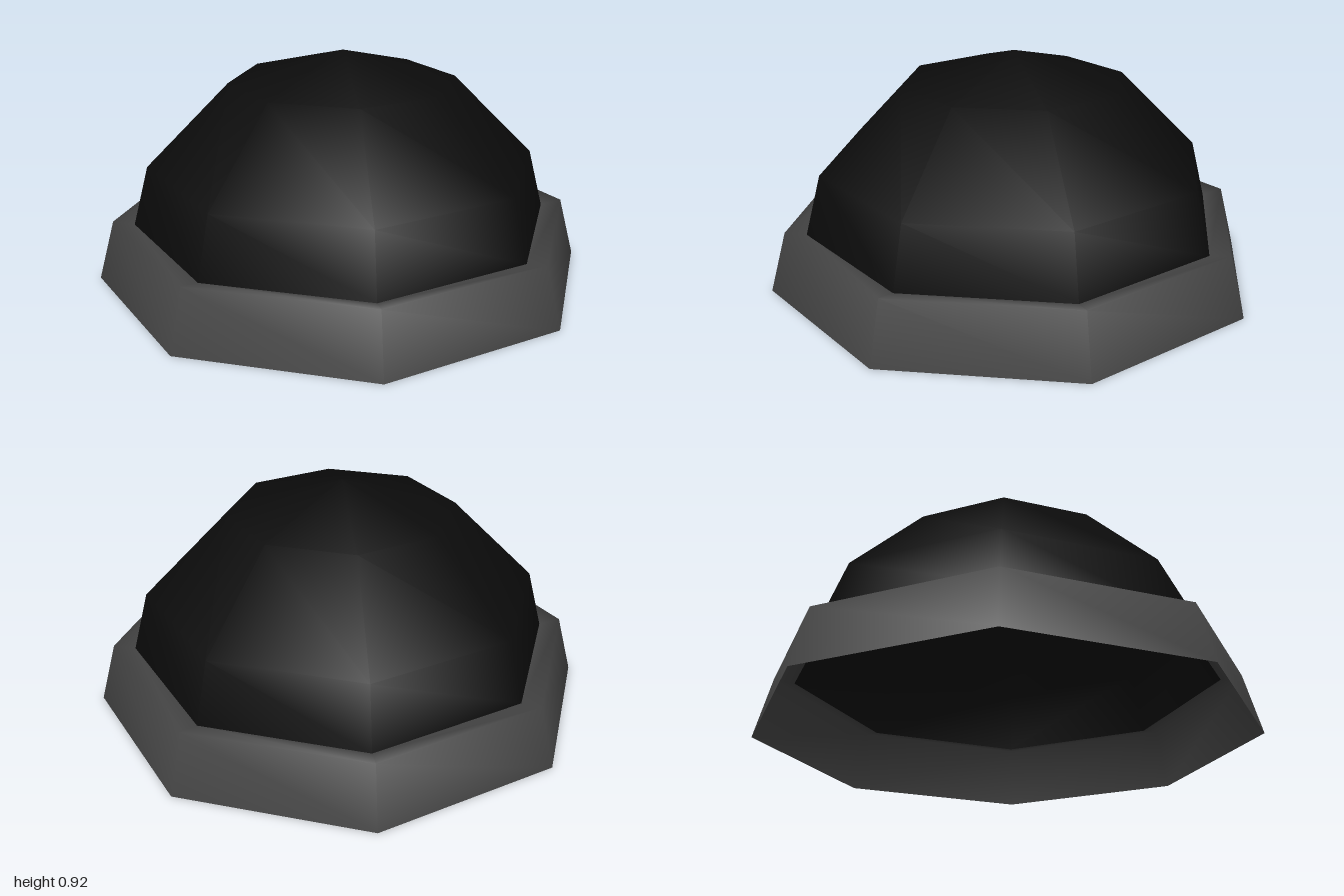
import * as THREE from 'three';

const SIDES = 8;

// Eight-sided, smooth-shaded turned shell, open underneath
function shell(name, profile, color) {
  const points = profile.map(([r, y]) => new THREE.Vector2(r, y));
  const mesh = new THREE.Mesh(
    new THREE.LatheGeometry(points, SIDES),
    new THREE.MeshStandardMaterial({ color, side: THREE.DoubleSide })
  );
  mesh.name = name;
  return mesh;
}

export function createModel() {
  const cap = new THREE.Group();
  cap.name = 'cap';

  // Faceted crown
  cap.add(shell('crown', [[0.85, 0.225], [0.787, 0.467], [0.455, 0.8], [0, 0.92]], 0x0b0b0b));

  // Flared cuff with a narrow ledge that meets the crown
  cap.add(shell('cuff', [[1, 0], [0.935, 0.242], [0.85, 0.225]], 0x444444));

  return cap;
}
